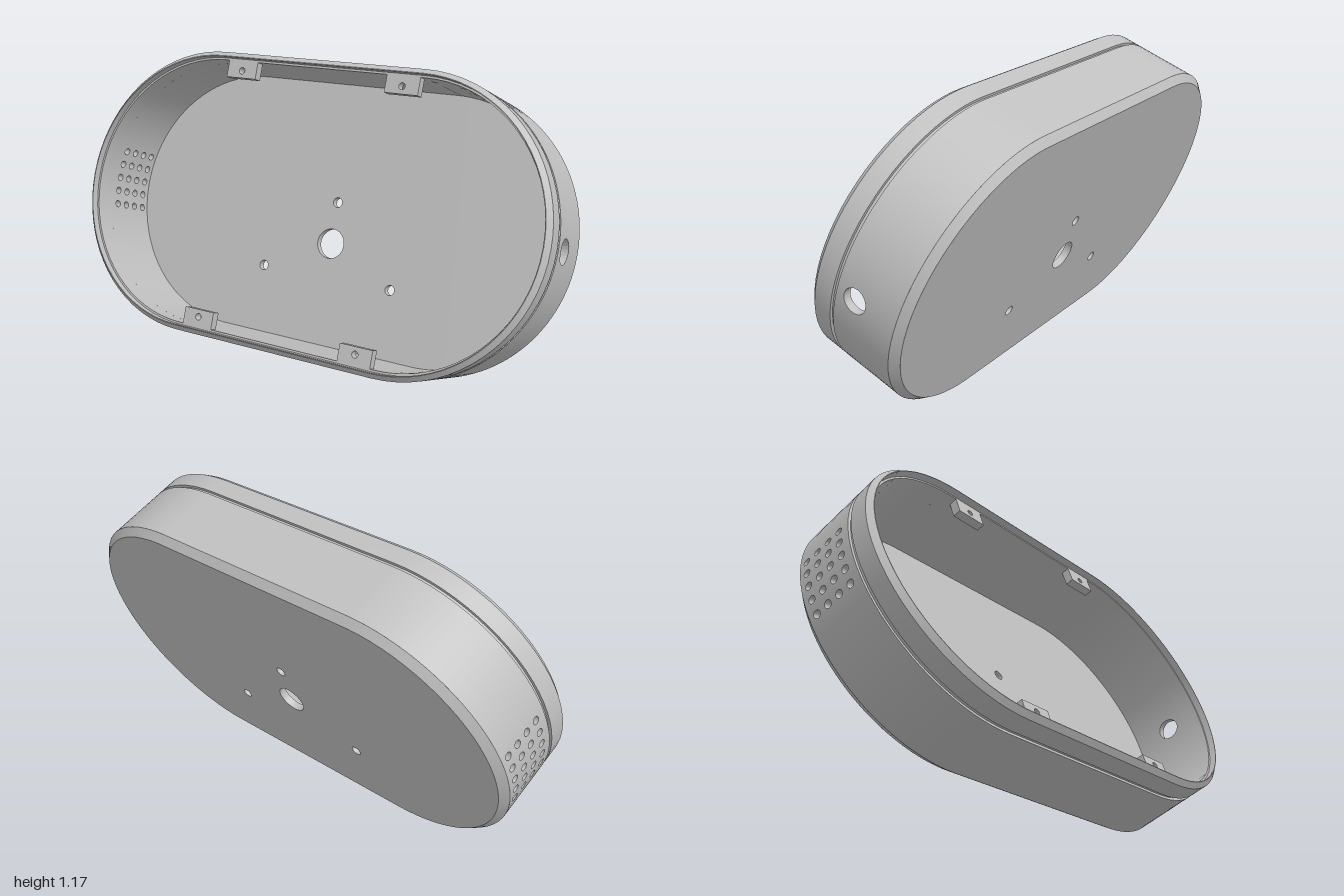
import * as THREE from 'three';
import { toCreasedNormals } from 'three/addons/utils/BufferGeometryUtils.js';

const R = 0.563, RI = 0.533, CX = 0.437;          // outer radius, inner radius, end-arc centre
const BACK = -0.194, FLOOR = -0.164, WALL0 = -0.166, WALL1 = 0.085, LEDGE = 0.164, FRONT = 0.194;
const STEPS = 36;

function circle(x, y, r) {
  return new THREE.Path().absarc(x, y, r, 0, Math.PI * 2, true);
}

// Points [cx, angle] around the rounded-end outline, counterclockwise
function outline() {
  const pts = [];
  for (const side of [0, 1]) {
    for (let i = 0; i <= STEPS; i++) {
      pts.push([side ? -CX : CX, -Math.PI / 2 + side * Math.PI + (i / STEPS) * Math.PI]);
    }
  }
  return pts;
}

// Sweep a [radius, depth] profile around the outline
function sweep(profile) {
  const path = outline(), n = profile.length, pos = [], index = [];
  for (const [cx, a] of path) {
    for (const [r, w] of profile) pos.push(cx + r * Math.cos(a), r * Math.sin(a), w);
  }
  for (let i = 0; i < path.length; i++) {
    const k = (i + 1) % path.length;
    for (let j = 0; j < n - 1; j++) {
      const a = i * n + j, b = k * n + j;
      index.push(a, b, b + 1, a, b + 1, a + 1);
    }
  }
  const g = new THREE.BufferGeometry();
  g.setAttribute('position', new THREE.Float32BufferAttribute(pos, 3));
  g.setIndex(index);
  return toCreasedNormals(g, 0.5);
}

// Wall slab from arc position s0 to s1, pierced by holes [s, depth, radius], bent round an end
function bentSlab(s0, s1, holes, side) {
  const n = Math.max(1, Math.round((s1 - s0) / 0.03)), pts = [];
  for (let i = 0; i <= n; i++) pts.push(new THREE.Vector2(s0 + (s1 - s0) * i / n, WALL0));
  for (let i = n; i >= 0; i--) pts.push(new THREE.Vector2(s0 + (s1 - s0) * i / n, WALL1));
  const shape = new THREE.Shape(pts);
  shape.holes = holes.map(([s, w, r]) => circle(s, w, r));
  const g = new THREE.ExtrudeGeometry(shape, { depth: R - RI, bevelEnabled: false, curveSegments: 12 });
  const p = g.attributes.position, q = g.attributes.normal;
  for (let i = 0; i < p.count; i++) {
    const a = p.getX(i) / R + (side < 0 ? Math.PI : 0), r = RI + p.getZ(i);
    const c = Math.cos(a), s = Math.sin(a), nx = q.getX(i), ny = q.getY(i), nz = q.getZ(i);
    p.setXYZ(i, side * CX + r * c, r * s, p.getY(i));
    q.setXYZ(i, nz * c - nx * s, nz * s + nx * c, ny);
  }
  return g;
}

export function createModel() {
  const grey = new THREE.MeshStandardMaterial({ color: 0xc0c0c0 });
  grey.name = 'grey';
  const model = new THREE.Group();
  model.name = 'enclosure';
  const body = new THREE.Group();
  body.name = 'tiltedBody';
  body.rotation.x = -THREE.MathUtils.degToRad(20);
  body.position.y = 0.587;
  model.add(body);
  const add = (name, geometry, parent = body) => {
    const m = new THREE.Mesh(geometry, grey);
    m.name = name;
    parent.add(m);
    return m;
  };

  // Back plate with a cable hole and three screw holes
  const plate = new THREE.Shape();
  const rp = R - 0.028;
  plate.absarc(CX, 0, rp, -Math.PI / 2, Math.PI / 2, false);
  plate.absarc(-CX, 0, rp, Math.PI / 2, Math.PI * 1.5, false);
  plate.holes = [circle(0, -0.121, 0.06), circle(0, 0.049, 0.02),
    circle(0.295, -0.26, 0.02), circle(-0.295, -0.26, 0.02)];
  add('backPlate', new THREE.ExtrudeGeometry(plate,
    { depth: FLOOR - BACK, bevelEnabled: false, curveSegments: STEPS })).position.z = BACK;

  // Chamfer round the back
  add('backChamfer', sweep([[rp, BACK], [R, WALL0]]));

  // Front rim: groove, outer band, chamfered edge and inner ledge
  add('frontRim', sweep([[R, WALL1], [R - 0.011, WALL1], [R - 0.011, 0.1], [R, 0.1], [R, 0.173],
    [0.544, FRONT], [0.541, FRONT], [0.541, LEDGE], [RI, LEDGE], [RI, WALL1]]));

  // Straight walls
  for (const s of [1, -1]) {
    const wall = add(s > 0 ? 'topWall' : 'bottomWall',
      new THREE.BoxGeometry(CX * 2, R - RI, WALL1 - WALL0));
    wall.position.set(0, s * (R + RI) / 2, (WALL0 + WALL1) / 2);
  }

  // Rounded end walls: a socket hole on the left, a grid of vents on the right
  const quarter = R * Math.PI / 2;
  const vent = 0.061;
  const ends = [
    { name: 'leftEndWall', side: 1, half: 0.065, cells: [[-0.065, 0.065, [[0, 0.006, 0.047]]]] },
    { name: 'rightEndWall', side: -1, half: vent * 2.5, cells: [-2, -1, 0, 1, 2].map((k) =>
      [(k - 0.5) * vent, (k + 0.5) * vent, [0.038, -0.018, -0.074, -0.13].map((w) => [k * vent, w, 0.015])]) },
  ];
  for (const { name, side, half, cells } of ends) {
    const end = new THREE.Group();
    end.name = name;
    body.add(end);
    for (const [s0, s1, holes] of cells) add('piercedWall', bentSlab(s0, s1, holes, side), end);
    const n = 18, step = (quarter - half) / n;
    for (let i = 0; i < n; i++) {
      const s = half + i * step;
      add('wallStrip', bentSlab(s, s + step, [], side), end);
      add('wallStrip', bentSlab(-s - step, -s, [], side), end);
    }
  }

  // Screw tabs for the lid
  const tab = new THREE.Shape();
  tab.moveTo(-0.068, -0.035).lineTo(0.068, -0.035).lineTo(0.068, 0.037).lineTo(-0.068, 0.037).closePath();
  tab.holes = [circle(0, -0.006, 0.013)];
  const tabGeo = new THREE.ExtrudeGeometry(tab, { depth: 0.035, bevelEnabled: false, curveSegments: 12 });
  for (const x of [-0.352, 0.352]) {
    for (const s of [1, -1]) {
      const t = add('screwTab', tabGeo);
      t.position.set(x, s * 0.501, LEDGE - 0.035);
      if (s < 0) t.rotation.z = Math.PI;
    }
  }
  return model;
}
